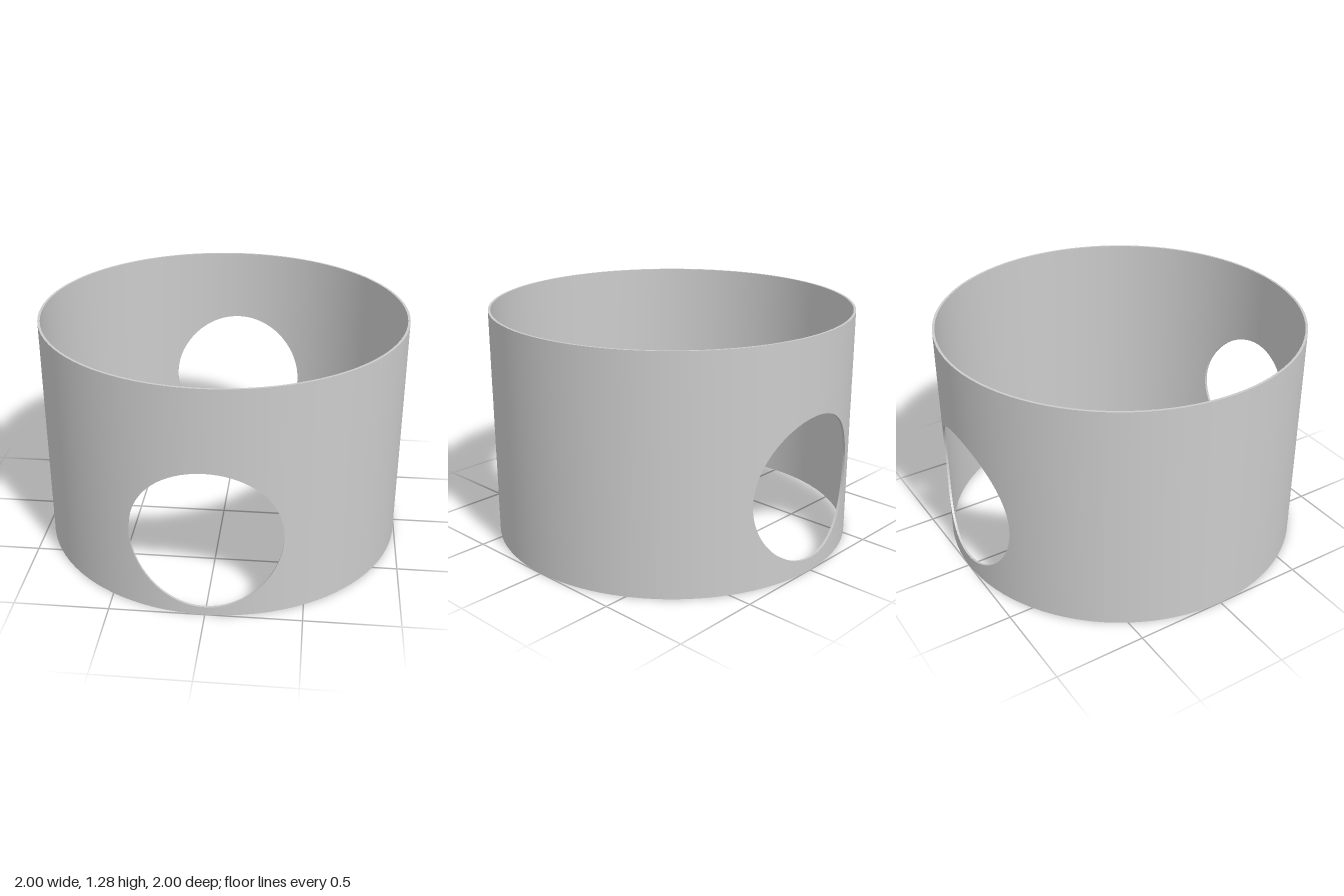
import * as THREE from 'three';
import { ParametricGeometry } from 'three/addons/geometries/ParametricGeometry.js';

const OUTER = 1, INNER = 0.987, HEIGHT = 1.28, HOLE = 0.393;
const SIDE = 48; // samples along each side of a half-shell patch

// Point on a half shell: u runs clockwise round the hole, v from hole edge to patch border
function shellPoint(u, v, radius, holeY, target) {
  const s = u * 4, side = Math.min(3, Math.floor(s)), f = s - side;
  const t = Math.PI * (0.75 - s / 2);
  const holeTheta = Math.asin(HOLE * Math.cos(t) / radius);
  const y0 = holeY + HOLE * Math.sin(t);
  const half = Math.PI / 2;
  const [borderTheta, y1] = [
    [half * (2 * f - 1), HEIGHT],
    [half, HEIGHT * (1 - f)],
    [half * (1 - 2 * f), 0],
    [-half, HEIGHT * f],
  ][side];
  const theta = THREE.MathUtils.lerp(holeTheta, borderTheta, v);
  const y = THREE.MathUtils.lerp(y0, y1, v);
  return target.set(radius * Math.sin(theta), y, radius * Math.cos(theta));
}

// Curved sheet around one hole, with exact cylinder normals
function sheet(radius, holeY, inward) {
  const geo = new ParametricGeometry(
    (u, v, p) => shellPoint(u, inward ? 1 - v : v, radius, holeY, p), SIDE * 4, 20);
  const pos = geo.attributes.position, sign = (inward ? -1 : 1) / radius;
  for (let i = 0; i < pos.count; i++) {
    geo.attributes.normal.setXYZ(i, pos.getX(i) * sign, 0, pos.getZ(i) * sign);
  }
  return geo;
}

// Cut edge of the hole, spanning the wall thickness
function holeEdge(holeY) {
  return new ParametricGeometry((u, v, p) => {
    shellPoint(u, 0, THREE.MathUtils.lerp(INNER, OUTER, v), holeY, p);
  }, SIDE * 4, 1);
}

export function createModel() {
  const model = new THREE.Group();
  model.name = 'piercedRing';
  const material = new THREE.MeshStandardMaterial({ color: 0xcccccc });
  const add = (parent, name, geo) => {
    const mesh = new THREE.Mesh(geo, material);
    mesh.name = name;
    parent.add(mesh);
    return mesh;
  };

  // Two half shells, each with a round hole; the rear hole sits slightly higher
  for (const [name, holeY, turn] of [['frontHalf', 0.44, 0], ['backHalf', 0.467, Math.PI]]) {
    const half = new THREE.Group();
    half.name = name;
    half.rotation.y = turn;
    add(half, 'outerWall', sheet(OUTER, holeY, false));
    add(half, 'innerWall', sheet(INNER, holeY, true));
    add(half, 'holeEdge', holeEdge(holeY));
    model.add(half);
  }

  // Flat rims closing the wall at top and bottom
  for (const [name, y, tilt] of [['topRim', HEIGHT, -1], ['bottomRim', 0, 1]]) {
    const rim = add(model, name, new THREE.RingGeometry(INNER, OUTER, SIDE * 2));
    rim.rotation.x = tilt * Math.PI / 2;
    rim.position.y = y;
  }
  return model;
}
